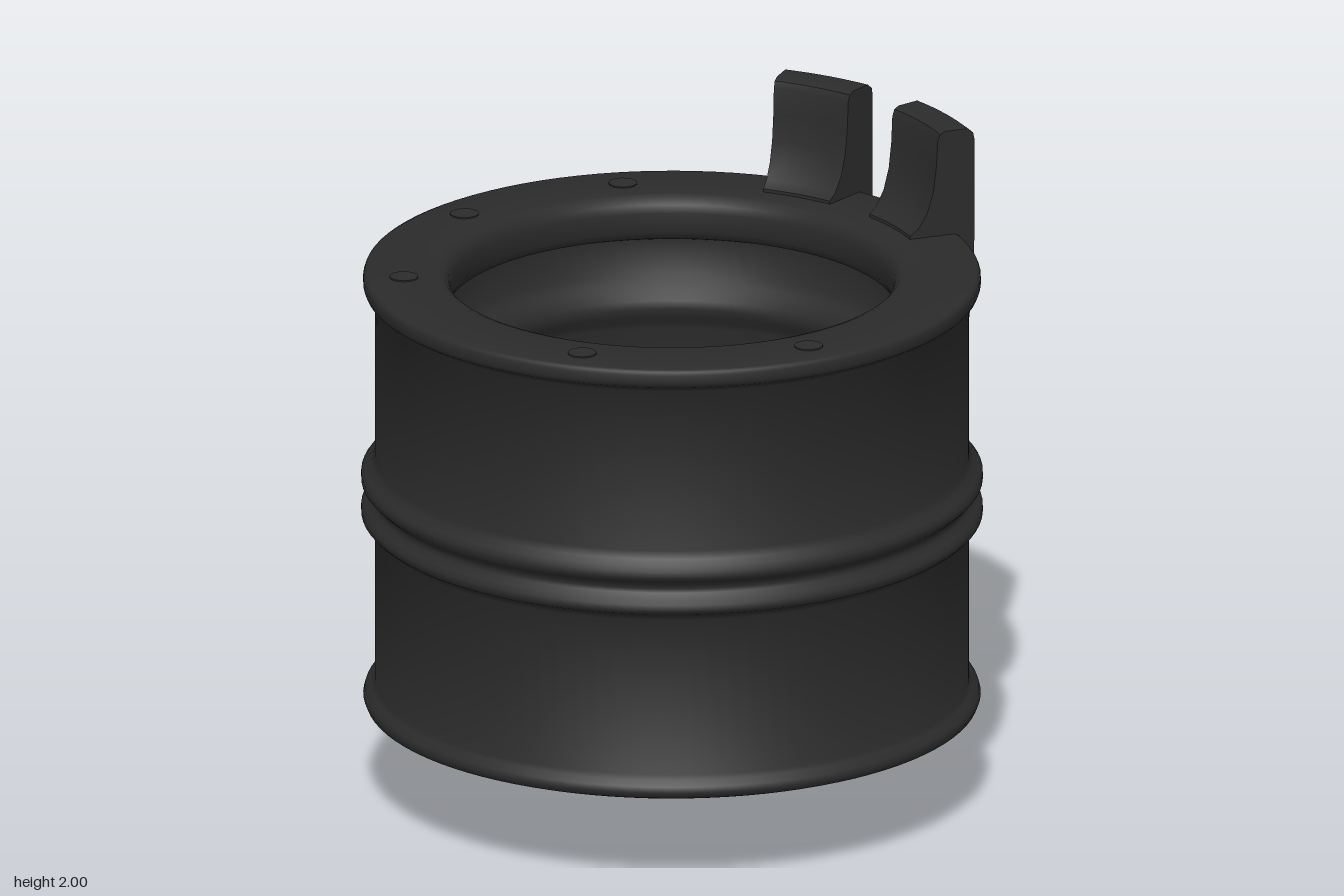
import * as THREE from 'three';
import { toCreasedNormals } from 'three/addons/utils/BufferGeometryUtils.js';

const AXIS_Z = 0.02; // the ring's axis sits slightly forward of the tabs
const RAD = Math.PI / 180;

export function createModel() {
  const group = new THREE.Group();
  const black = new THREE.MeshStandardMaterial({ color: 0x2b2b2b });
  black.name = 'charcoal plastic';

  const add = (name, geometry) => {
    const mesh = new THREE.Mesh(geometry, black);
    mesh.name = name;
    group.add(mesh);
    return mesh;
  };

  // Hollow body: outside going up, rim, inside going down, floor with neck hole
  const profile = [
    [0.45, 0.30], [0.905, 0.30], [0.923, 0.307], [0.93, 0.325], [0.925, 0.342], [0.905, 0.358], [0.895, 0.372],
    [0.895, 0.865], [0.905, 0.882], [0.925, 0.893], [0.936, 0.905], [0.936, 0.925], [0.922, 0.94],
    [0.905, 0.955], [0.902, 0.967], [0.905, 0.98],
    [0.922, 0.995], [0.936, 1.01], [0.936, 1.032], [0.925, 1.046], [0.905, 1.062], [0.895, 1.085],
    [0.895, 1.595], [0.905, 1.605], [0.925, 1.617], [0.93, 1.63], [0.93, 1.655], [0.926, 1.665], [0.915, 1.67],
    [0.71, 1.67], [0.688, 1.662], [0.673, 1.645], [0.667, 1.62],
    [0.667, 1.56], [0.68, 1.535], [0.72, 1.52], [0.72, 1.41], [0.70, 1.385], [0.675, 1.37], [0.657, 1.345],
    [0.652, 1.32], [0.657, 1.295], [0.675, 1.27], [0.68, 1.25],
    [0.68, 0.50], [0.665, 0.46], [0.63, 0.44],
    [0.48, 0.42], [0.458, 0.412], [0.45, 0.395], [0.45, 0.30],
  ].map(([r, y]) => new THREE.Vector2(r, y));
  add('ringBody', toCreasedNormals(new THREE.LatheGeometry(profile, 96), 0.85)).position.z = AXIS_Z;

  // Sweeps a radius/height outline around the axis; 0 degrees is the back, positive toward +x
  const sweep = (points, from, to) => {
    const shape = new THREE.Shape(points.map(([r, y]) => new THREE.Vector2(r, y)));
    const geometry = new THREE.ExtrudeGeometry(shape, { depth: 1, steps: 8, bevelEnabled: false });
    const p = geometry.attributes.position;
    for (let i = 0; i < p.count; i++) {
      const r = p.getX(i);
      const a = (from + (to - from) * p.getZ(i)) * RAD;
      p.setXYZ(i, r * Math.sin(a), p.getY(i), AXIS_Z - r * Math.cos(a));
    }
    return toCreasedNormals(geometry, 0.6);
  };

  // Two upright tabs with a curved foot on the rim
  const upperTab = [
    [0.885, 1.38], [0.945, 1.38], [0.957, 1.387], [0.963, 1.4], [0.978, 1.62], [0.98, 1.72],
    [0.98, 1.96], [0.975, 1.985], [0.957, 2], [0.885, 2], [0.868, 1.992], [0.86, 1.97],
    [0.856, 1.89], [0.846, 1.81], [0.826, 1.745], [0.798, 1.7], [0.77, 1.68], [0.77, 1.65], [0.885, 1.65],
  ];
  add('upperTabRight', sweep(upperTab, -13.6, 3.6));
  add('upperTabLeft', sweep(upperTab, 16, 34));

  // Hanging tab below
  const lowerTab = [
    [0.872, 0], [0.955, 0], [0.972, 0.01], [0.98, 0.035], [0.98, 0.555], [0.972, 0.58],
    [0.955, 0.59], [0.88, 0.59], [0.88, 0.31], [0.858, 0.3], [0.858, 0.03], [0.862, 0.01],
  ];
  add('lowerTab', sweep(lowerTab, -1.2, 20.6));

  // Small round pads set in both end faces
  for (const degrees of [115, 165, 231, 275, 315]) {
    const a = degrees * RAD;
    for (const [name, y] of [['topPad', 1.67], ['bottomPad', 0.3]]) {
      const pad = add(name, new THREE.CylinderGeometry(0.043, 0.043, 0.008, 20));
      pad.position.set(0.81 * Math.sin(a), y, AXIS_Z - 0.81 * Math.cos(a));
    }
  }
  return group;
}
